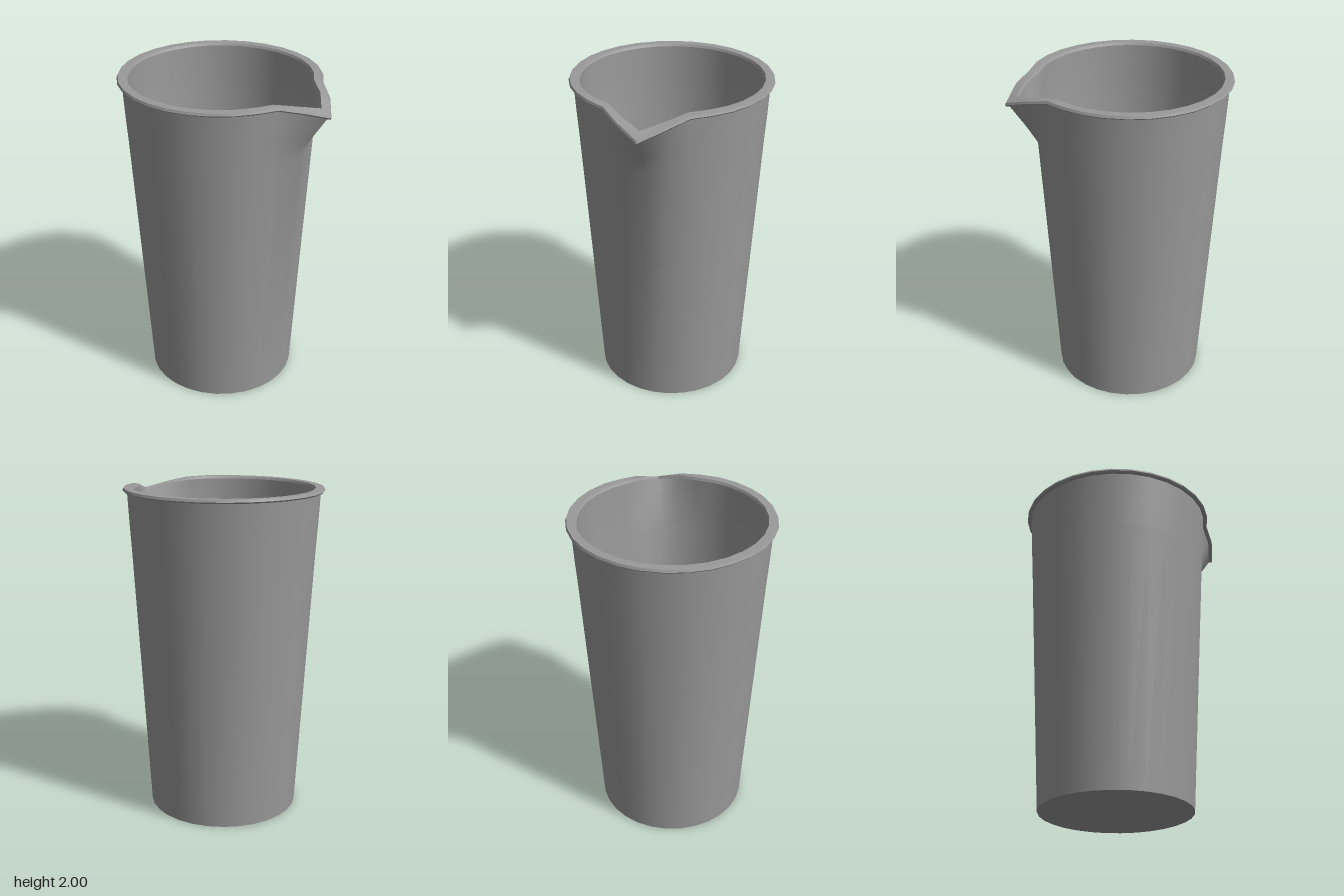
import * as THREE from 'three';
import { toCreasedNormals } from 'three/addons/utils/BufferGeometryUtils.js';

const SIDES = 30;
const CENTRE_X = -0.07;

// Spout offset [outward, down] at full strength, by steps from the tip
const SPOUT = [[0.138, 0.092], [0.066, 0.037], [0, 0.004]];

// Profile points are [radius, height, outward strength, down strength]; each becomes one ring
function sweepProfile(profile, creaseAngle) {
  const positions = [];
  const index = [];
  for (const [r, y, outward = 0, downward = 0] of profile) {
    for (let j = 0; j < SIDES; j++) {
      const a = (j / SIDES) * Math.PI * 2;
      const [out, down] = SPOUT[Math.min(j, SIDES - j)] ?? [0, 0];
      const radius = r + out * outward;
      positions.push(CENTRE_X + radius * Math.cos(a), y - down * downward, radius * Math.sin(a));
    }
  }
  for (let i = 0; i < profile.length - 1; i++) {
    for (let j = 0; j < SIDES; j++) {
      const k = (j + 1) % SIDES;
      const a = i * SIDES + j, b = i * SIDES + k;
      const c = a + SIDES, d = b + SIDES;
      // Rings of zero radius collapse to a fan
      if (profile[i][0] > 0) index.push(a, c, b);
      if (profile[i + 1][0] > 0) index.push(b, c, d);
    }
  }
  const geometry = new THREE.BufferGeometry();
  geometry.setAttribute('position', new THREE.Float32BufferAttribute(positions, 3));
  geometry.setIndex(index);
  return toCreasedNormals(geometry, creaseAngle);
}

export function createModel() {
  const group = new THREE.Group();
  group.name = 'beaker';
  const material = new THREE.MeshStandardMaterial({ color: 0x9a9a9a, side: THREE.DoubleSide });

  const parts = [
    // Underside and tapered outside, bulging smoothly into the spout
    ['outerWall', 1.35, [
      [0, 0], [0.46, 0], [0.553, 1.63],
      [0.563, 1.78, 0.4, 0.4], [0.574, 1.978, 1, 1],
    ]],
    // Lip with small bevels, sloping outward along the spout
    ['rim', 0.6, [
      [0.574, 1.978, 1, 1], [0.592, 1.978, 1, 1], [0.6, 1.986, 1, 1],
      [0.594, 2, 1, 1], [0.545, 2, 0.93, 0.65], [0.537, 1.985, 0.93, 0.65],
    ]],
    // Inside wall and floor
    ['innerWall', 1.35, [
      [0.537, 1.985, 0.93, 0.65], [0.536, 1.78, 0.4, 0.4], [0.53, 1.64],
      [0.445, 0.02], [0, 0.02],
    ]],
  ];

  for (const [name, creaseAngle, profile] of parts) {
    const mesh = new THREE.Mesh(sweepProfile(profile, creaseAngle), material);
    mesh.name = name;
    group.add(mesh);
  }
  return group;
}
